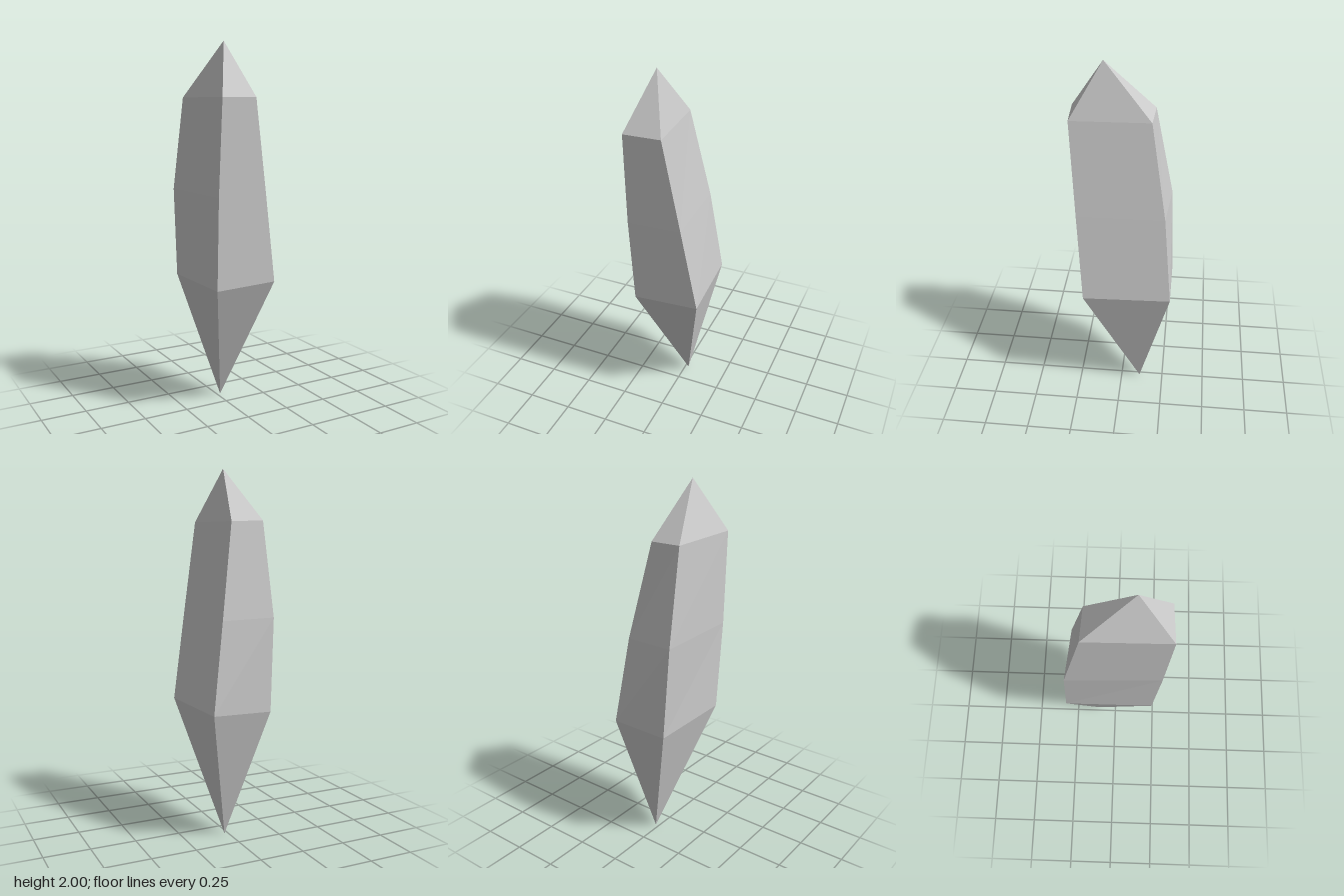
import * as THREE from 'three';

// Four-sided rings, counterclockwise from above: front right-hand side, front left-hand side, then the back pair
const RINGS = [
  [[-0.17, 0.715, 0.215], [0.19, 0.725, 0.2], [0.16, 0.715, -0.28], [-0.17, 0.71, -0.28]],
  [[-0.18, 1.21, 0.25], [0.11, 1.21, 0.235], [0.09, 1.2, -0.235], [-0.195, 1.21, -0.26]],
  [[-0.175, 1.715, 0.28], [0.025, 1.715, 0.27], [0, 1.71, -0.15], [-0.18, 1.715, -0.16]],
];
const BOTTOM_TIP = [0.02, 0, -0.11];
const TOP_TIP = [-0.07, 2, 0.1];

function crystalGeometry() {
  const positions = [];
  const triangle = (...corners) => corners.forEach((c) => positions.push(...c));
  const last = RINGS.length - 1;
  for (let i = 0; i < 4; i++) {
    const j = (i + 1) % 4;
    // lower point
    triangle(BOTTOM_TIP, RINGS[0][j], RINGS[0][i]);
    // shaft facets
    for (let r = 0; r < last; r++) {
      const low = RINGS[r], high = RINGS[r + 1];
      triangle(low[i], low[j], high[j]);
      triangle(low[i], high[j], high[i]);
    }
    // upper point
    triangle(RINGS[last][i], RINGS[last][j], TOP_TIP);
  }
  const geometry = new THREE.BufferGeometry();
  geometry.setAttribute('position', new THREE.Float32BufferAttribute(positions, 3));
  geometry.computeVertexNormals();
  return geometry;
}

export function createModel() {
  const group = new THREE.Group();
  group.name = 'crystalShard';
  const material = new THREE.MeshStandardMaterial({ color: 0xcccccc, flatShading: true });
  const crystal = new THREE.Mesh(crystalGeometry(), material);
  crystal.name = 'crystal';
  group.add(crystal);
  return group;
}
